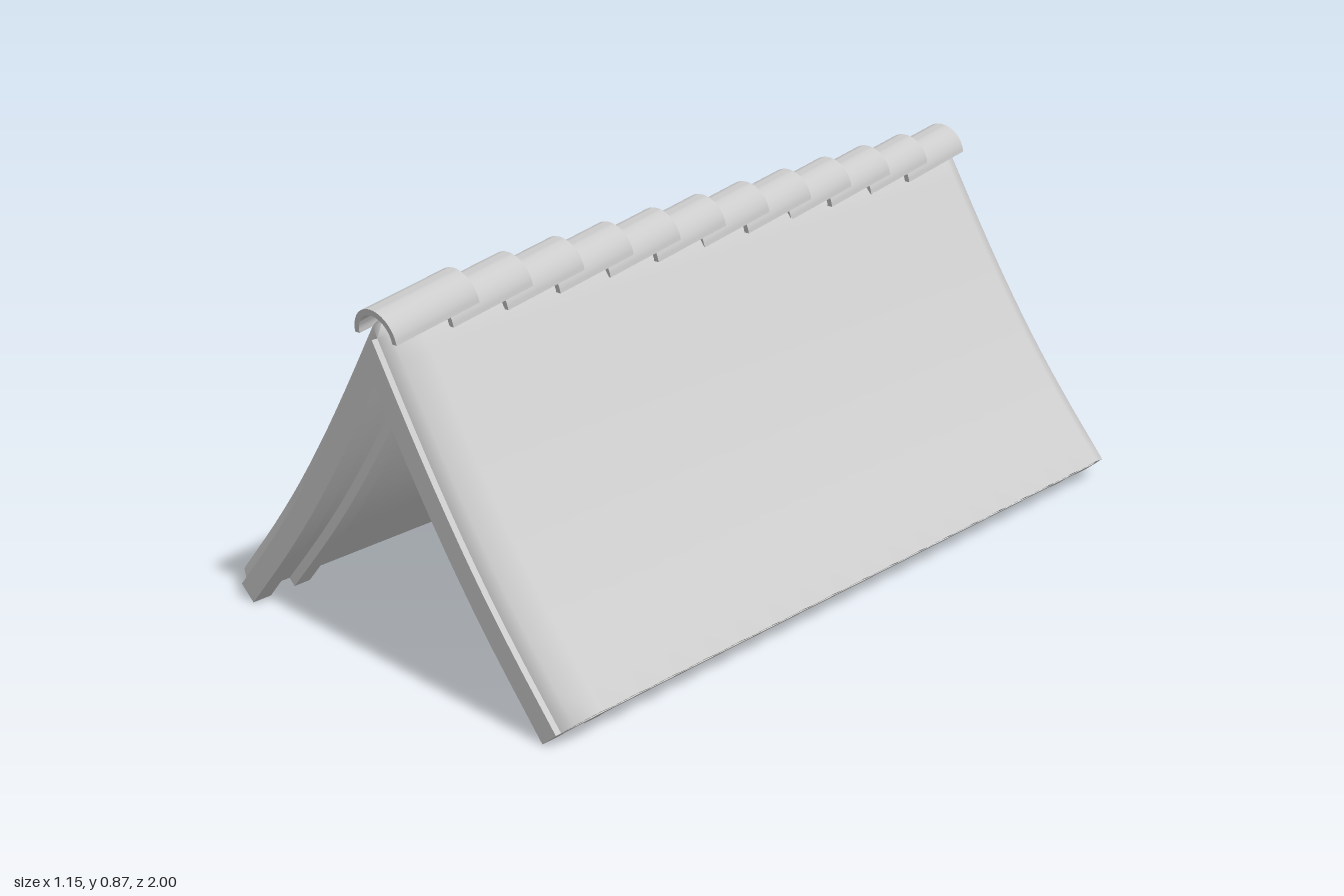
import * as THREE from 'three';
import { mergeGeometries, toCreasedNormals } from 'three/addons/utils/BufferGeometryUtils.js';

// Sagging line of one roof slope, from ridge to eave
const slope = new THREE.CatmullRomCurve3([
  [0, 0.77], [0.1, 0.608], [0.2, 0.455], [0.3, 0.315], [0.4, 0.189], [0.53, 0.038],
].map(([x, y]) => new THREE.Vector3(x, y, 0)));
const STEPS = 14;

// Surface through rows of points; mirrored sides need reversed faces
function grid(rows, side) {
  const n = rows[0].length, pos = [], idx = [];
  for (const row of rows) for (const p of row) pos.push(p.x * side, p.y, p.z);
  const tri = (a, b, c) => (side > 0 ? idx.push(a, b, c) : idx.push(a, c, b));
  for (let i = 0; i < rows.length - 1; i++) {
    for (let j = 0; j < n - 1; j++) {
      const a = i * n + j;
      tri(a, a + 1, a + n);
      tri(a + 1, a + n + 1, a + n);
    }
  }
  const geo = new THREE.BufferGeometry();
  geo.setAttribute('position', new THREE.Float32BufferAttribute(pos, 3));
  geo.setIndex(idx);
  geo.computeVertexNormals();
  return geo;
}

// Carries a section of [z, offset] pairs down the slope; the apex row is mitred
function sweepRows(section, apexScale, extraRow) {
  const rows = [section.map(([z, o]) => new THREE.Vector3(0, 0.77 + o * apexScale, z))];
  for (let i = extraRow ? 0 : 1; i <= STEPS; i++) {
    const p = slope.getPoint(i / STEPS), t = slope.getTangent(i / STEPS);
    rows.push(section.map(([z, o]) => new THREE.Vector3(p.x - t.y * o, p.y + t.x * o, z)));
  }
  return rows;
}

// Solid curved board of the given z range and thickness below the slope line
function board(z0, z1, thick, side) {
  const rows = sweepRows([[z0, 0], [z1, 0], [z1, -thick], [z0, -thick], [z0, 0]], 1.8, false);
  const e = rows[rows.length - 1];
  const geo = mergeGeometries([grid(rows, side), grid([[e[0], e[1]], [e[3], e[2]]], side)]);
  return toCreasedNormals(geo, 0.5);
}

// Thin corrugated sheet with its ends bent down onto the boards
function corrugatedSheet(side) {
  const section = [[-0.985, 0], [-0.972, 0.034]], waves = 18, pitch = 0.1075;
  for (let i = 0; i < waves; i++) {
    const z = (i - (waves - 1) / 2) * pitch;
    section.push([z, 0.06]);
    if (i < waves - 1) section.push([z + pitch / 2, 0.034]);
  }
  section.push([0.972, 0.034], [0.985, 0]);
  const under = section.map(([z, o]) => [z * 0.99, Math.max(o - 0.014, 0)]);
  const top = sweepRows(section, 0.85, true), low = sweepRows(under, 0.85, true);
  return mergeGeometries([
    grid(top, side),
    grid(low, -side).scale(-1, 1, 1),
    grid([top[top.length - 1], low[low.length - 1]], side),
  ].map((g, i) => {
    // underside faces the other way
    if (i === 1) g.computeVertexNormals();
    return g;
  }));
}

// Half-round ridge tile
function ridgeTileGeometry() {
  const shape = new THREE.Shape();
  shape.absarc(0, 0, 0.067, 0, Math.PI, false);
  shape.absarc(0, 0, 0.053, Math.PI, 0, true);
  const geo = new THREE.ExtrudeGeometry(shape, { depth: 0.235, bevelEnabled: false, curveSegments: 12 });
  return toCreasedNormals(geo, 0.6);
}

export function createModel() {
  const model = new THREE.Group();
  model.name = 'roof';
  const mat = new THREE.MeshStandardMaterial({ color: 0xcccccc });
  const sheetMat = new THREE.MeshStandardMaterial({ color: 0xcccccc, side: THREE.DoubleSide });
  const add = (parent, name, geo, m = mat) => {
    const mesh = new THREE.Mesh(geo, m);
    mesh.name = name;
    parent.add(mesh);
    return mesh;
  };

  // Two mirrored slopes
  for (const side of [1, -1]) {
    const half = new THREE.Group();
    half.name = side > 0 ? 'leftSlope' : 'rightSlope';
    add(half, 'tileSheet', corrugatedSheet(side), sheetMat);
    add(half, 'innerPanel', board(-0.96, 0.96, 0.03, side));
    for (const [a, b] of [[0.95, 1], [0.835, 0.88]]) {
      add(half, 'frontRafter', board(a, b, 0.054, side));
      add(half, 'backRafter', board(-b, -a, 0.054, side));
    }
    model.add(half);
  }

  // Overlapping ridge tiles, each tilted down towards the front
  const ridge = new THREE.Group();
  ridge.name = 'ridgeTiles';
  const tile = ridgeTileGeometry();
  for (let i = 0; i < 12; i++) {
    const mesh = add(ridge, 'ridgeTile', tile);
    mesh.position.set(0, 0.808, -0.97 + i * 0.157);
    mesh.rotation.x = 0.16;
  }
  model.add(ridge);
  return model;
}
